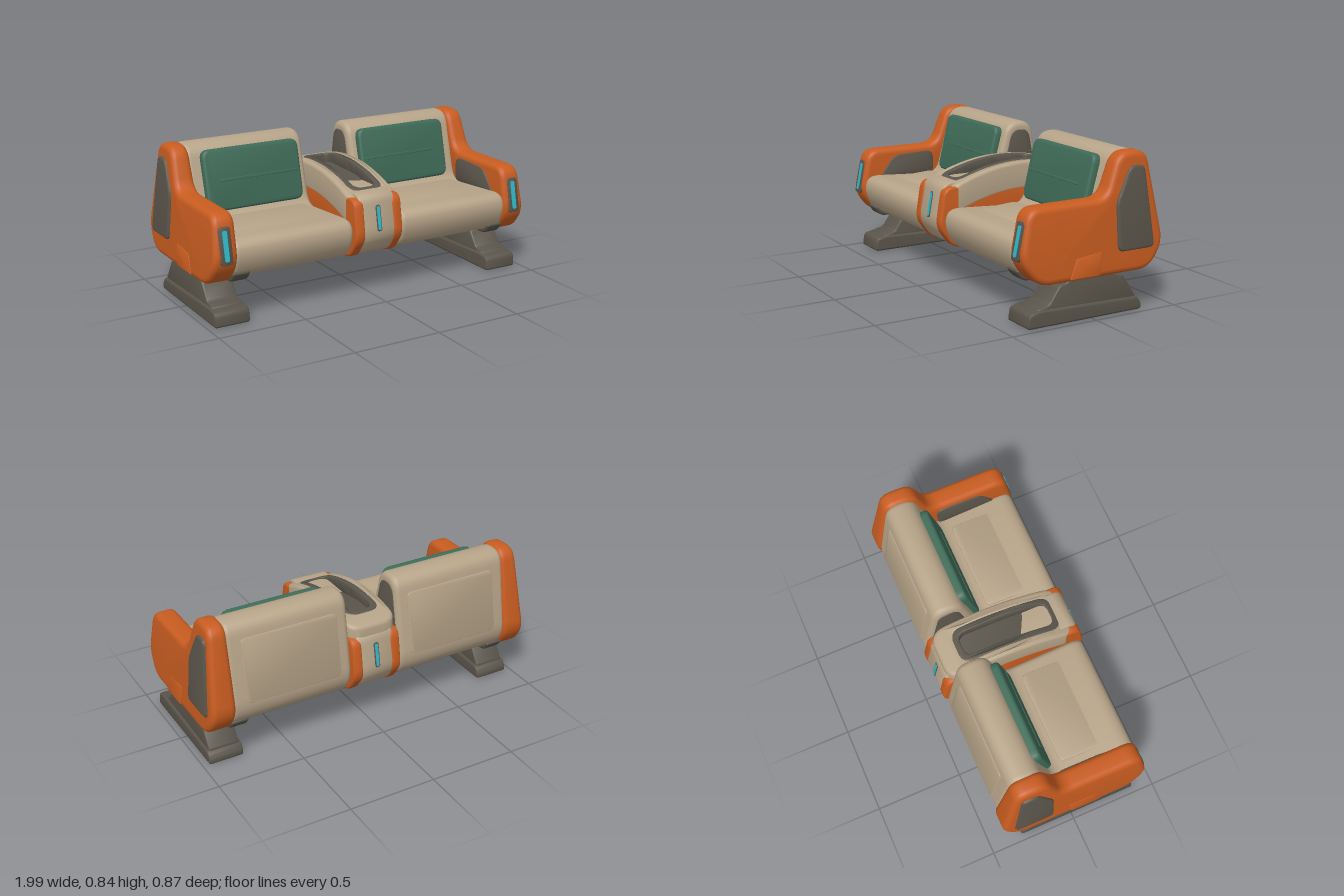
import * as THREE from 'three';
import { toCreasedNormals } from 'three/addons/utils/BufferGeometryUtils.js';

const mat = (name, color) => Object.assign(new THREE.MeshStandardMaterial({ color }), { name });

// Closed outline with each corner rounded by up to r
function rounded(pts, r) {
  const v = pts.map(p => new THREE.Vector2(p[0], p[1]));
  const s = new THREE.Shape();
  v.forEach((p, i) => {
    const a = v[(i + v.length - 1) % v.length], b = v[(i + 1) % v.length];
    const toward = q => p.clone().lerp(q, Math.min(r / p.distanceTo(q), 0.48));
    const start = toward(a), end = toward(b);
    if (i === 0) s.moveTo(start.x, start.y); else s.lineTo(start.x, start.y);
    s.quadraticCurveTo(p.x, p.y, end.x, end.y);
  });
  s.closePath();
  return s;
}

const rect = (w, h) => [[-w / 2, -h / 2], [w / 2, -h / 2], [w / 2, h / 2], [-w / 2, h / 2]];

function extrude(shape, depth, bevel) {
  const g = new THREE.ExtrudeGeometry(shape, {
    depth: depth - 2 * bevel, bevelEnabled: bevel > 0, bevelSize: bevel,
    bevelThickness: bevel, bevelOffset: -bevel, bevelSegments: 4, curveSegments: 6,
  });
  return g.translate(0, 0, bevel);
}

// Moves every vertex by a rule
function deform(g, rule) {
  const p = g.attributes.position, v = new THREE.Vector3();
  for (let i = 0; i < p.count; i++) {
    rule(v.fromBufferAttribute(p, i));
    p.setXYZ(i, v.x, v.y, v.z);
  }
  return g;
}

export function createModel() {
  const root = new THREE.Group();
  root.name = 'doubleSeat';
  const orange = mat('orange shell', 0xc85c20);
  const cream = mat('cream shell', 0xb7a489);
  const green = mat('green cushion', 0x3f6b58);
  const grey = mat('dark grey', 0x5a554b);
  const cyan = mat('cyan light', 0x30b8c8);

  const add = (name, g, m) => {
    const mesh = new THREE.Mesh(toCreasedNormals(g, 0.6), m);
    mesh.name = name;
    root.add(mesh);
    return mesh;
  };

  // Side profile given as [z, y], extruded across x around centre xc
  const slab = (name, m, pts, xc, width, bevel, r, rule) => {
    const g = extrude(rounded(pts.map(([z, y]) => [-z, y]), r), width, bevel);
    g.rotateY(Math.PI / 2).translate(xc - width / 2, 0, 0);
    return add(name, rule ? deform(g, rule) : g, m);
  };

  // Rounded plate facing +z, leaned back by tilt; facing -z when back is true
  const plate = (name, m, w, h, depth, bevel, r, pos, tilt, back = false) => {
    const g = extrude(rounded(rect(w, h), r), depth, bevel).translate(0, 0, -depth);
    const mesh = add(name, g, m);
    mesh.position.set(...pos);
    mesh.rotation.set(back ? tilt : -tilt, back ? Math.PI : 0, 0);
    return mesh;
  };

  const armProfile = [[0.435, 0.35], [0.383, 0.612], [-0.08, 0.612], [-0.165, 0.84],
    [-0.342, 0.84], [-0.437, 0.35], [-0.345, 0.22], [0.335, 0.22]];
  const armPanel = [[-0.225, 0.768], [-0.316, 0.768], [-0.367, 0.335], [-0.137, 0.335], [-0.135, 0.59]];
  const lowerPanel = [[0.16, 0.23], [0.115, 0.335], [-0.04, 0.352], [-0.025, 0.23]];
  const innerPad = [[0.32, 0.43], [0.22, 0.57], [-0.05, 0.58], [-0.05, 0.43]];
  const seatProfile = [[0.425, 0.37], [0.395, 0.465], [-0.07, 0.435], [-0.18, 0.837],
    [-0.34, 0.837], [-0.422, 0.35], [-0.35, 0.238], [0.36, 0.238]];
  const backEnd = [[-0.125, 0.47], [-0.205, 0.79], [-0.315, 0.79], [-0.375, 0.47]];
  const bracket = [[0.4, 0.285], [-0.4, 0.285], [-0.35, 0.222], [0.35, 0.222]];
  const footBase = [[0.388, 0], [0.376, 0.076], [0.31, 0.09], [-0.285, 0.072], [-0.312, 0.035], [-0.312, 0]];
  const footPost = [[0.335, 0.05], [0.32, 0.093], [0.255, 0.107], [0.19, 0.2], [0.155, 0.203], [0.12, 0.23],
    [-0.125, 0.23], [-0.16, 0.203], [-0.2, 0.2], [-0.285, 0.072], [-0.27, 0.05]];

  // Outer side of each arm leans inwards with height
  const lean = v => { if (Math.abs(v.x) > 0.9) v.x -= Math.sign(v.x) * 0.08 * (v.y - 0.3); };

  for (const s of [-1, 1]) {
    // Arm with its panels and front light
    slab('arm', orange, armProfile, s * 0.915, 0.145, 0.03, 0.07, lean);
    slab('armSidePanel', grey, armPanel, s * 0.982, 0.036, 0.012, 0.035, lean);
    slab('armLowerPanel', orange, lowerPanel, s * 0.975, 0.03, 0.005, 0.012, lean);
    slab('armInnerPad', grey, innerPad, s * 0.845, 0.02, 0.005, 0.05);
    plate('armLightFrame', grey, 0.07, 0.2, 0.02, 0.004, 0.02, [s * 0.91, 0.45, 0.418], 0.2);
    plate('armLight', cyan, 0.026, 0.16, 0.008, 0, 0.01, [s * 0.91, 0.45, 0.422], 0.2);

    // Seat and backrest shell
    slab('seatShell', cream, seatProfile, s * 0.505, 0.71, 0.032, 0.075);
    slab('backrestEnd', grey, backEnd, s * 0.153, 0.014, 0.004, 0.05);
    const pad = plate('seatPad', cream, 0.54, 0.32, 0.014, 0.005, 0.04, [s * 0.5, 0.459, 0.16], 0);
    pad.rotation.x = -Math.PI / 2 + 0.064;
    plate('backCushion', green, 0.585, 0.34, 0.06, 0.018, 0.05, [s * 0.49, 0.645, -0.09], 0.238);
    plate('cushionSeam', green, 0.47, 0.014, 0.01, 0.003, 0.006, [s * 0.455, 0.642, -0.085], 0.238);
    plate('backPanel', cream, 0.56, 0.36, 0.012, 0.003, 0.03, [s * 0.5, 0.57, -0.39], 0.167, true);

    // Foot
    slab('seatBracket', grey, bracket, s * 0.81, 0.1, 0.012, 0.03);
    slab('footBase', grey, footBase, s * 0.865, 0.2, 0.012, 0.02);
    slab('footPost', grey, footPost, s * 0.865, 0.175, 0.012, 0.018);

    // Orange edge band of the console
    slab('consoleBand', orange, [[0.437, 0.35], [0.4, 0.57], [-0.4, 0.57], [-0.437, 0.35],
      [-0.35, 0.23], [0.35, 0.23]], s * 0.118, 0.06, 0.014, 0.05);
  }

  // Console core
  slab('consoleCore', cream, [[0.435, 0.35], [0.39, 0.59], [-0.39, 0.59], [-0.435, 0.35],
    [-0.35, 0.234], [0.35, 0.234]], 0, 0.22, 0.01, 0.06);

  // Console top: outlines in plan with evenly spaced points, the upper face bent along z
  const outline = (w, z0, z1, r) => {
    const h = w / 2;
    return rounded([[-h, z0], [h, z0], [h, z1], [-h, z1]], r).getPoints(8).flatMap((p, i, all) => {
      const q = all[(i + 1) % all.length], n = Math.max(1, Math.round(p.distanceTo(q) / 0.05));
      return Array.from({ length: n }, (_, k) => p.clone().lerp(q, k / n));
    }).filter((p, i, all) => i === 0 || (p.distanceTo(all[i - 1]) > 1e-5 && p.distanceTo(all[0]) > 1e-5));
  };
  const ring = (name, m, outer, hole, height, bevel, lift) => {
    const shape = new THREE.Shape(outer);
    if (hole) shape.holes.push(new THREE.Path(hole));
    const g = extrude(shape, height, bevel).translate(0, 0, -height).rotateX(-Math.PI / 2);
    // Plan outlines use -z as their second axis
    return add(name, deform(g, v => { v.y += 0.67 + lift - 0.5 * (v.z + 0.1) ** 2; }), m);
  };
  ring('consoleTop', cream, outline(0.3, -0.385, 0.385, 0.09), outline(0.18, -0.3, 0.27, 0.06), 0.16, 0.02, 0);
  ring('trayRim', grey, outline(0.205, -0.315, 0.285, 0.07), outline(0.135, -0.28, 0.25, 0.05), 0.075, 0.008, 0.002);
  ring('trayFloor', grey, outline(0.19, -0.305, 0.275, 0.06), null, 0.02, 0, -0.05);

  // Console lights, front and back
  for (const back of [false, true]) {
    const z = back ? -1 : 1;
    plate('consoleLightFrame', grey, 0.03, 0.145, 0.012, 0.002, 0.014, [0, 0.455, z * 0.418], 0.19, back);
    plate('consoleLight', cyan, 0.018, 0.13, 0.008, 0, 0.009, [0, 0.455, z * 0.421], 0.19, back);
  }
  return root;
}
